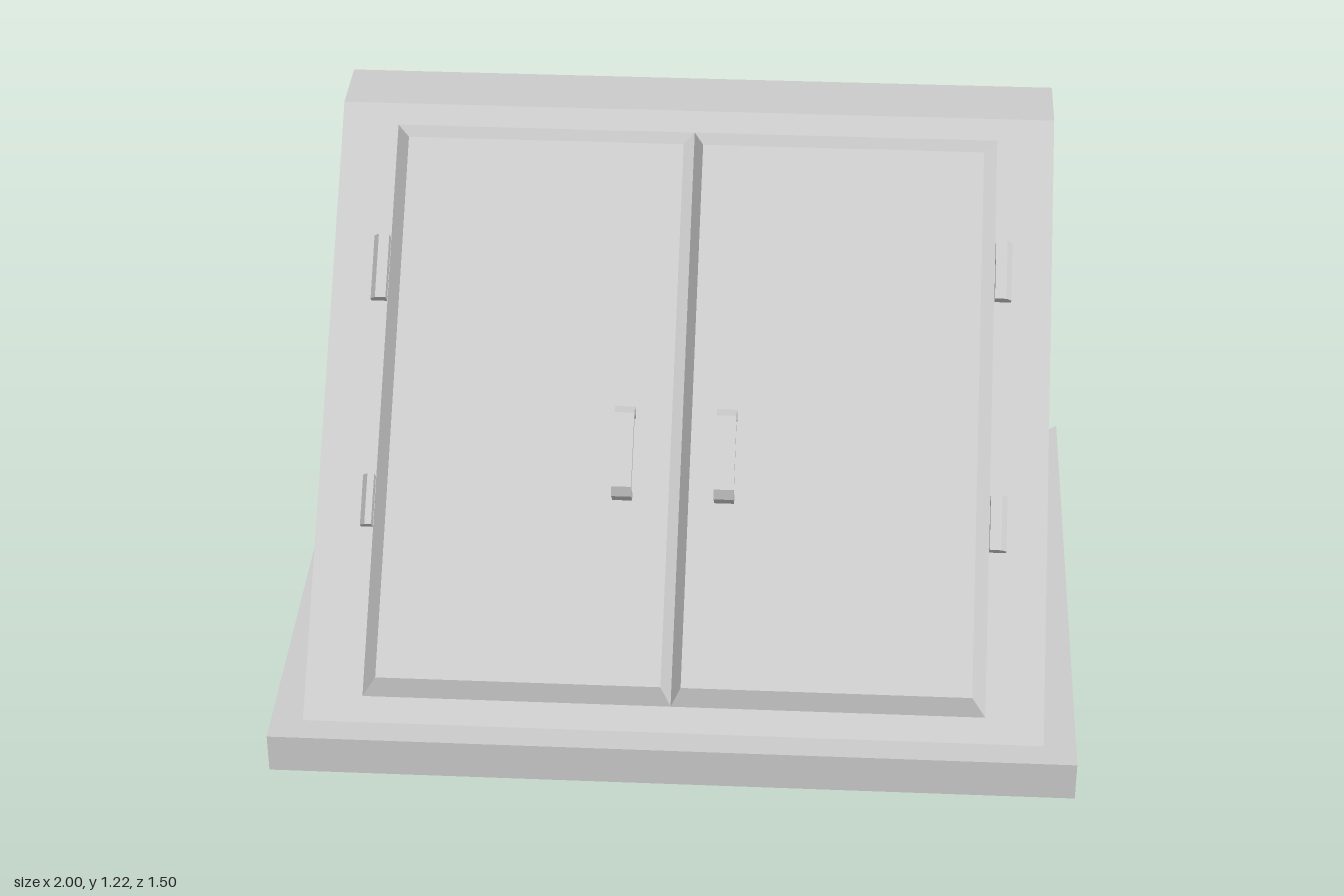
import * as THREE from 'three';

const RUN = 1.063;                       // z run per unit of rise on the slope
const TILT = -Math.atan(RUN);
const FLOOR = 0.105, TOP = 1.215, WALL = 0.92, BACK = -0.68, FRONT = 0.68;
const RAISE = 0.06;                      // vertical height of the doors above the slope

const sheetMat = new THREE.MeshStandardMaterial({ color: 0xcccccc, flatShading: true, side: THREE.DoubleSide });
const solidMat = new THREE.MeshStandardMaterial({ color: 0xcccccc, flatShading: true });

// Point at height y, lying h above the sloping plane
const onSlope = (x, y, h = 0) => [x, y, FRONT - (y - h - FLOOR) * RUN];

// Thin surface from flat quads, corners counter-clockwise from outside
function sheet(name, quads) {
  const pos = [];
  for (const [a, b, c, d] of quads) pos.push(...a, ...b, ...c, ...a, ...c, ...d);
  const geo = new THREE.BufferGeometry();
  geo.setAttribute('position', new THREE.Float32BufferAttribute(pos, 3));
  geo.computeVertexNormals();
  const mesh = new THREE.Mesh(geo, sheetMat);
  mesh.name = name;
  return mesh;
}

// Quads joining two four-cornered loops
const ring = (outer, inner) => outer.map((p, i) => {
  const j = (i + 1) % 4;
  return [p, outer[j], inner[j], inner[i]];
});

const slopeRect = (x0, x1, y0, y1, h) =>
  [onSlope(x0, y0, h), onSlope(x1, y0, h), onSlope(x1, y1, h), onSlope(x0, y1, h)];

// Raised door with bevelled edges, open underneath
function door(name, x0, x1, bevel0, bevel1) {
  const y0 = 0.15, y1 = 1.175;
  const foot = slopeRect(x0, x1, y0, y1, 0);
  const face = [
    onSlope(x0 + bevel0, y0 + RAISE, RAISE), onSlope(x1 - bevel1, y0 + RAISE, RAISE),
    onSlope(x1 - bevel1, y1, RAISE), onSlope(x0 + bevel0, y1, RAISE),
  ];
  return sheet(name, [face, ...ring(foot, face)]);
}

const shapeOf = pts => new THREE.Shape(pts.map(p => new THREE.Vector2(...p)));

function tilted(name, geo, point) {
  const mesh = new THREE.Mesh(geo, solidMat);
  mesh.name = name;
  mesh.position.set(...point);
  mesh.rotation.x = TILT;
  return mesh;
}

// Flat bar bent into a pull with cut corners
function handle(name, x) {
  const w = 0.05;
  const shape = shapeOf([
    [-0.005, -0.005], [0.046, -0.005], [0.07, 0.015], [0.07, 0.205], [0.048, 0.226], [-0.005, 0.226],
    [-0.005, 0.207], [0.04, 0.207], [0.05, 0.196], [0.05, 0.024], [0.038, 0.014], [-0.005, 0.014],
  ]);
  const geo = new THREE.ExtrudeGeometry(shape, { depth: w, bevelEnabled: false });
  geo.translate(0, 0, -w / 2).rotateY(-Math.PI / 2);
  return tilted(name, geo, onSlope(x, 0.535, RAISE));
}

// Hinge block with a chamfered outer edge; side is +1 or -1
function hinge(name, side, y, length, width) {
  const shape = shapeOf([[0, 0], [width, 0], [width, 0.02], [width - 0.013, 0.035], [0, 0.035]]
    .map(([x, n]) => [side * x, n]));
  const geo = new THREE.ExtrudeGeometry(shape, { depth: length, bevelEnabled: false });
  geo.rotateX(Math.PI / 2).translate(0, length, 0);
  return tilted(name, geo, onSlope(side * 0.776, y));
}

export function createModel() {
  const model = new THREE.Group();
  model.name = 'cellarHatch';

  // Base skirt: open at the back and below
  const rim = [[-1, -0.755], [-1, 0.75], [1, 0.75], [1, -0.755]];
  const inner = [[-WALL, BACK], [-WALL, FRONT], [WALL, FRONT], [WALL, BACK]];
  const at = ([x, z], y) => [x, y, z];
  const skirt = [];
  for (let i = 0; i < 3; i++) {
    const a = rim[i], b = rim[i + 1];
    skirt.push([at(a, 0), at(b, 0), at(b, FLOOR), at(a, FLOOR)]);
    skirt.push([at(a, FLOOR), at(b, FLOOR), at(inner[i + 1], FLOOR), at(inner[i], FLOOR)]);
  }
  model.add(sheet('baseSkirt', skirt));

  // Side walls and flat top strip
  const wall = x => [[x, FLOOR, FRONT], [x, FLOOR, BACK], [x, TOP, BACK], onSlope(x, TOP)];
  model.add(sheet('leftWall', [wall(WALL)]));
  model.add(sheet('rightWall', [wall(-WALL).reverse()]));
  model.add(sheet('topStrip', [
    [onSlope(-WALL, TOP), onSlope(WALL, TOP), [WALL, TOP, BACK], [-WALL, TOP, BACK]],
  ]));

  // Sloping frame around the door opening
  model.add(sheet('slopeFrame', ring(
    slopeRect(-WALL, WALL, FLOOR, TOP, 0),
    slopeRect(-0.775, 0.775, 0.15, 1.175, 0),
  )));

  // Doors meeting in a V groove
  const seam = -0.005;
  model.add(door('rightDoor', -0.775, seam, 0.035, 0.025));
  model.add(door('leftDoor', seam, 0.775, 0.025, 0.035));

  model.add(handle('rightHandle', -0.146), handle('leftHandle', 0.11));

  model.add(
    hinge('leftLowerHinge', 1, 0.435, 0.14, 0.042),
    hinge('leftUpperHinge', 1, 0.88, 0.153, 0.042),
    hinge('rightLowerHinge', -1, 0.445, 0.13, 0.03),
    hinge('rightUpperHinge', -1, 0.85, 0.168, 0.04),
  );
  return model;
}
